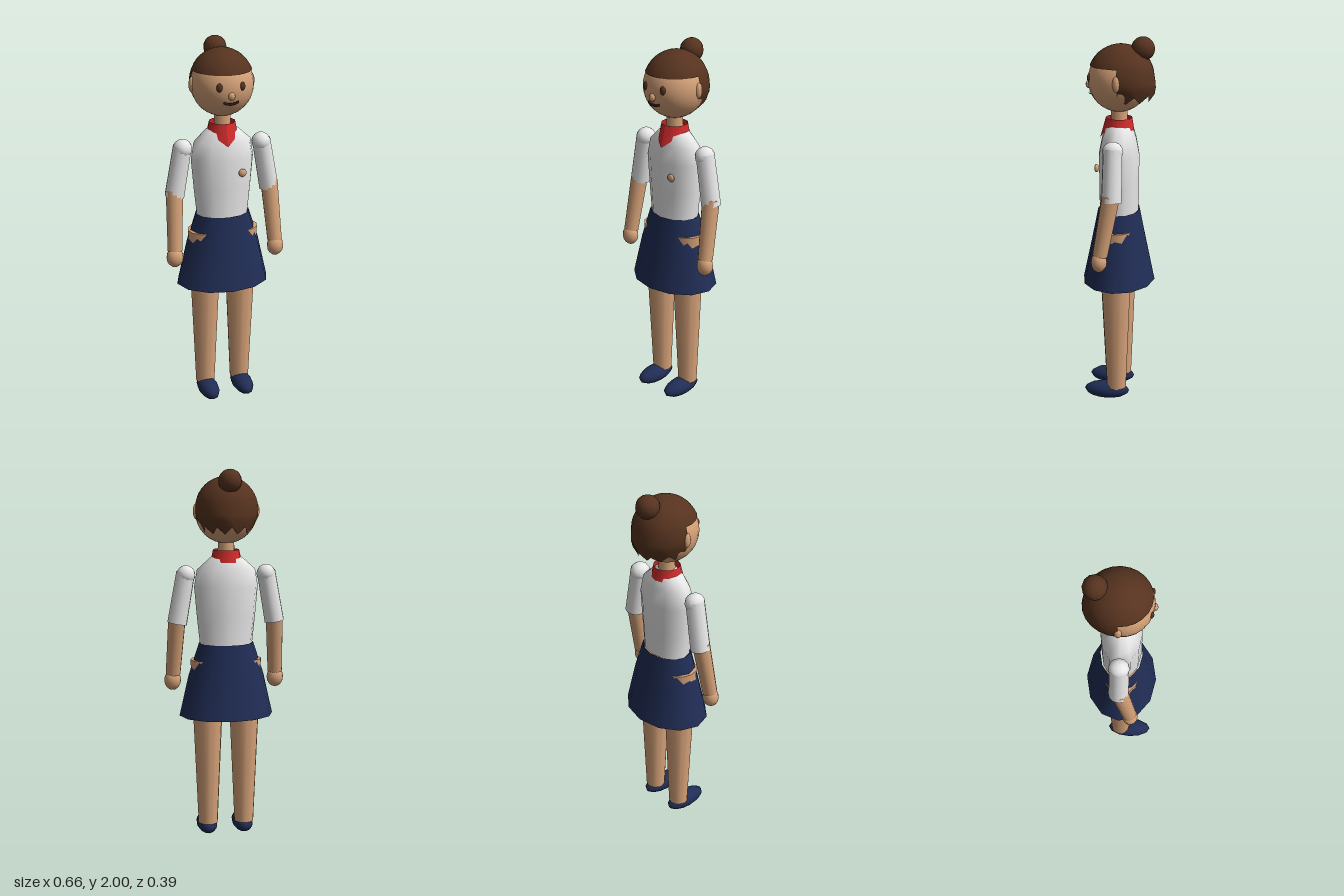
import * as THREE from 'three';

const mat = (name, color, side = THREE.FrontSide) => {
  const m = new THREE.MeshStandardMaterial({ color, side });
  m.name = name;
  return m;
};

export function createModel() {
  const model = new THREE.Group();
  const skin = mat('skin', 0xd6a279);
  const brown = mat('brown hair', 0x56331f, THREE.DoubleSide);
  const white = mat('white cloth', 0xececec, THREE.DoubleSide);
  const navy = mat('navy cloth', 0x202d55, THREE.DoubleSide);
  const red = mat('red scarf', 0xd22b2b, THREE.DoubleSide);
  const dark = mat('dark mouth', 0x32160f);

  const add = (name, geo, material) => {
    const mesh = new THREE.Mesh(geo, material);
    mesh.name = name;
    model.add(mesh);
    return mesh;
  };
  const ball = (name, material, pos, radii, w = 12, h = 8) => {
    const mesh = add(name, new THREE.SphereGeometry(1, w, h), material);
    mesh.position.set(...pos);
    mesh.scale.set(...radii);
    return mesh;
  };
  // Tapered tube from the top point to the bottom point
  const limb = (name, material, top, bottom, rTop, rBottom, open = false) => {
    const a = new THREE.Vector3(...top), b = new THREE.Vector3(...bottom);
    const mesh = add(name, new THREE.CylinderGeometry(rTop, rBottom, a.distanceTo(b), 12, 1, open), material);
    mesh.position.copy(a).lerp(b, 0.5);
    mesh.quaternion.setFromUnitVectors(new THREE.Vector3(0, 1, 0), a.sub(b).normalize());
    return mesh;
  };
  // Open shell of elliptical rings, each [y, rx, rz], from bottom to top
  const rings = (name, material, list, n = 12) => {
    const pos = [], index = [];
    for (const [y, rx, rz] of list)
      for (let i = 0; i < n; i++) {
        const t = (i / n) * Math.PI * 2;
        pos.push(Math.sin(t) * rx, y, Math.cos(t) * rz);
      }
    for (let r = 0; r < list.length - 1; r++)
      for (let i = 0; i < n; i++) {
        const a = r * n + i, b = r * n + (i + 1) % n;
        index.push(a, b, b + n, a, b + n, a + n);
      }
    const geo = new THREE.BufferGeometry();
    geo.setAttribute('position', new THREE.Float32BufferAttribute(pos, 3));
    geo.setIndex(index);
    geo.computeVertexNormals();
    return add(name, geo, material);
  };

  // Clothes
  rings('shirt', white, [[1.07, 0.142, 0.105], [1.22, 0.158, 0.107], [1.38, 0.172, 0.108],
    [1.47, 0.157, 0.09], [1.53, 0.09, 0.07], [1.56, 0.045, 0.045]]);
  rings('skirt', navy, [[0.68, 0.255, 0.195], [0.9, 0.205, 0.148], [1.075, 0.148, 0.113]]);
  ball('badge', skin, [0.078, 1.315, 0.108], [0.022, 0.022, 0.012]);

  // Scarf: a collar whose lower edge hangs to a point in front
  const scarfGeo = new THREE.CylinderGeometry(0.07, 0.08, 0.04, 12, 1, true);
  const sp = scarfGeo.attributes.position;
  for (let i = 0; i < sp.count; i++) {
    sp.setY(i, sp.getY(i) + 1.555);
    if (sp.getY(i) > 1.56) continue;
    const f = sp.getZ(i) / 0.08;
    const drop = f > 0 ? f ** 4 : 0;
    sp.setY(i, 1.53 - 0.07 * drop - (f < -0.8 ? 0.02 : 0));
    sp.setZ(i, sp.getZ(i) + 0.022 * drop);
  }
  scarfGeo.computeVertexNormals();
  add('scarf', scarfGeo, red);

  // Head and face
  limb('neck', skin, [0, 1.65, 0], [0, 1.52, 0], 0.042, 0.047);
  ball('head', skin, [0, 1.775, 0], [0.165, 0.168, 0.163], 24, 16);
  ball('nose', skin, [0, 1.745, 0.162], [0.019, 0.021, 0.015], 8, 6);
  const smile = new THREE.QuadraticBezierCurve3(new THREE.Vector3(-0.04, 1.712, 0.146),
    new THREE.Vector3(0, 1.691, 0.157), new THREE.Vector3(0.04, 1.712, 0.146));
  add('mouth', new THREE.TubeGeometry(smile, 10, 0.007, 6), dark);

  // Hair: a straight-fringed cap, a jagged back half and a bun
  const R = 0.175, fringe = Math.acos(0.065 / R);
  const cap = add('hairCap', new THREE.SphereGeometry(R, 24, 8, 0, Math.PI * 2, 0, fringe), brown);
  const cols = 12, rows = 5;
  const backGeo = new THREE.SphereGeometry(R, cols, rows, Math.PI, Math.PI, fringe, 2.0 - fringe);
  const bp = backGeo.attributes.position;
  for (let i = 0; i < bp.count; i++) {
    const col = i % (cols + 1), row = Math.floor(i / (cols + 1));
    if (row === rows) {
      const edge = col === 0 || col === cols;
      const theta = edge ? 1.95 : col % 2 ? 2.32 : 2.05;
      const phi = Math.PI * (1 + col / cols);
      bp.setXYZ(i, -Math.cos(phi) * Math.sin(theta) * R, Math.cos(theta) * R, Math.sin(phi) * Math.sin(theta) * R);
    }
    const low = Math.max(0, -bp.getY(i) / 0.12);
    bp.setZ(i, bp.getZ(i) * (1 + 0.2 * low));
  }
  backGeo.computeVertexNormals();
  const back = add('hairBack', backGeo, brown);
  for (const h of [cap, back]) {
    h.position.set(0, 1.785, -0.01);
    h.scale.x = 0.96;
  }
  ball('hairBun', brown, [0, 1.938, -0.124], [0.062, 0.062, 0.062], 12, 10);

  // Mirrored parts
  for (const [s, side] of [[1, 'left'], [-1, 'right']]) {
    ball(side + 'Eye', brown, [s * 0.06, 1.79, 0.147], [0.017, 0.023, 0.012]);
    ball(side + 'Ear', skin, [s * 0.16, 1.778, -0.008], [0.018, 0.042, 0.02]);
    ball(side + 'Shoulder', white, [s * 0.216, 1.443, 0], [0.051, 0.051, 0.055]);
    limb(side + 'Sleeve', white, [s * 0.217, 1.455, 0], [s * 0.264, 1.185, 0], 0.05, 0.053, true);
    limb(side + 'Forearm', skin, [s * 0.264, 1.22, 0.002], [s * 0.281, 0.9, 0.058], 0.047, 0.04);
    ball(side + 'Hand', skin, [s * 0.283, 0.865, 0.063], [0.046, 0.055, 0.042]);
    limb(side + 'Leg', skin, [s * 0.1, 0.985, 0.005], [s * 0.1, 0.07, 0], 0.093, 0.053);
    ball(side + 'Shoe', navy, [s * 0.1, 0.048, 0.053], [0.056, 0.048, 0.124]);
  }
  return model;
}
